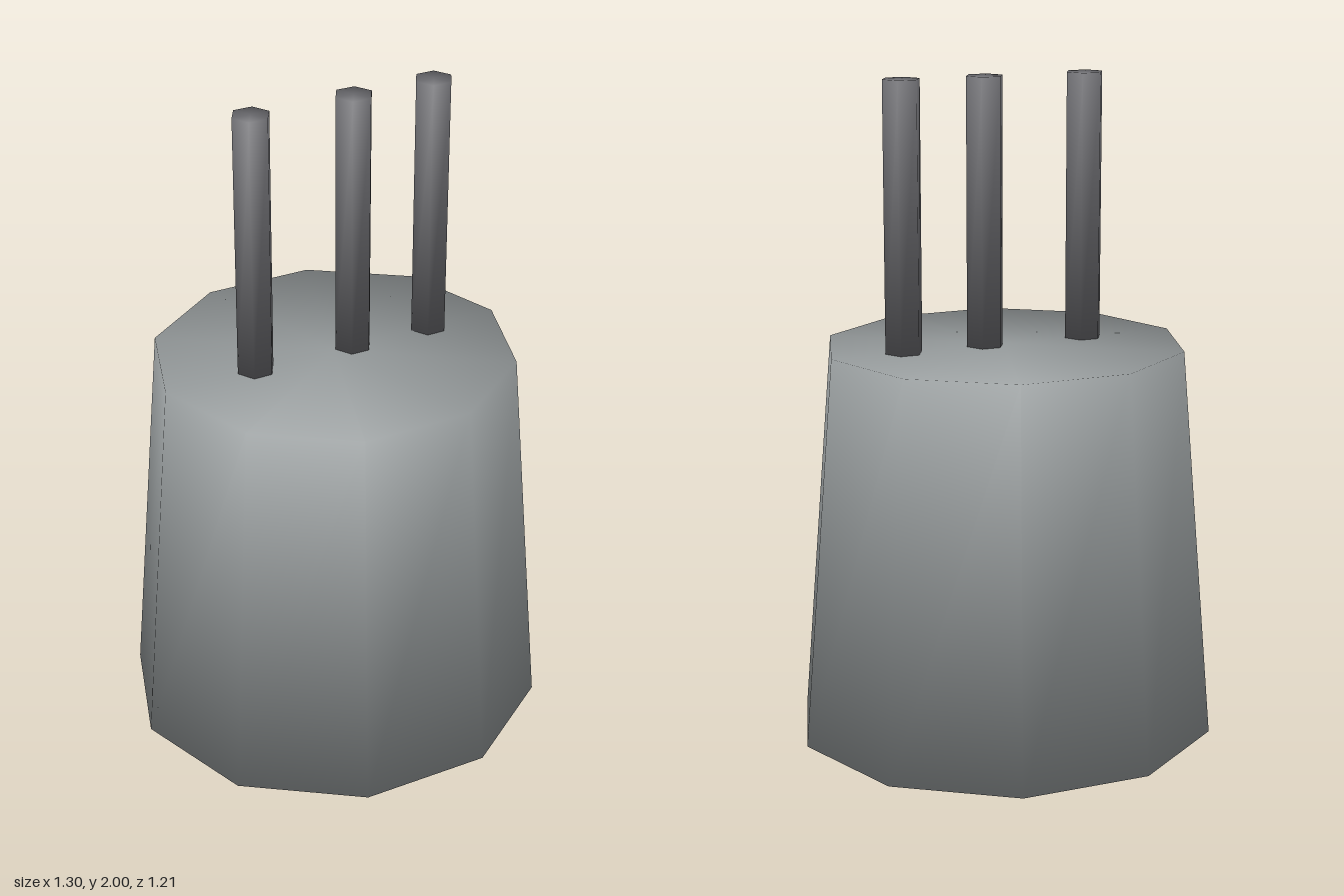
import * as THREE from 'three';
import { mergeVertices } from 'three/addons/utils/BufferGeometryUtils.js';

// Closed prism or frustum with corners on the x axis; rim normals lean halfway
// between cap and wall, so the shading flows softly over every edge
function smoothPrism(topRadius, bottomRadius, bottomY, topY, sides, depthRatio) {
  let geometry = new THREE.CylinderGeometry(topRadius, bottomRadius, topY - bottomY, sides);
  geometry.rotateY(Math.PI / 2);
  geometry.scale(1, 1, depthRatio);
  geometry.deleteAttribute('normal');
  geometry.deleteAttribute('uv');
  geometry = mergeVertices(geometry, 1e-4);

  const position = geometry.attributes.position;
  const normals = [];
  const normal = new THREE.Vector3();
  for (let i = 0; i < position.count; i++) {
    normal.fromBufferAttribute(position, i).setY(0);
    if (normal.length() > 0.001) normal.normalize();
    normal.y = Math.sign(position.getY(i));
    normals.push(...normal.normalize().toArray());
  }
  geometry.setAttribute('normal', new THREE.Float32BufferAttribute(normals, 3));
  geometry.translate(0, (bottomY + topY) / 2, 0);
  return geometry;
}

export function createModel() {
  const model = new THREE.Group();
  model.name = 'blockWithRods';

  const bodyMaterial = new THREE.MeshStandardMaterial({ color: 0x959a9b });
  const rodMaterial = new THREE.MeshStandardMaterial({ color: 0x68686c });
  const bodyTop = 1.195;

  // Ten-sided tapered body, slightly shallower than wide
  const body = new THREE.Mesh(smoothPrism(0.55, 0.65, 0, bodyTop, 10, 0.98), bodyMaterial);
  body.name = 'body';
  model.add(body);

  // Three six-sided rods standing on the body, unevenly spaced
  const rodGeometry = smoothPrism(0.058, 0.058, bodyTop, 2, 6, 1);
  [['rightRod', -0.26], ['middleRod', 0.063], ['leftRod', 0.323]].forEach(([name, x]) => {
    const rod = new THREE.Mesh(rodGeometry, rodMaterial);
    rod.name = name;
    rod.position.x = x;
    model.add(rod);
  });

  return model;
}
